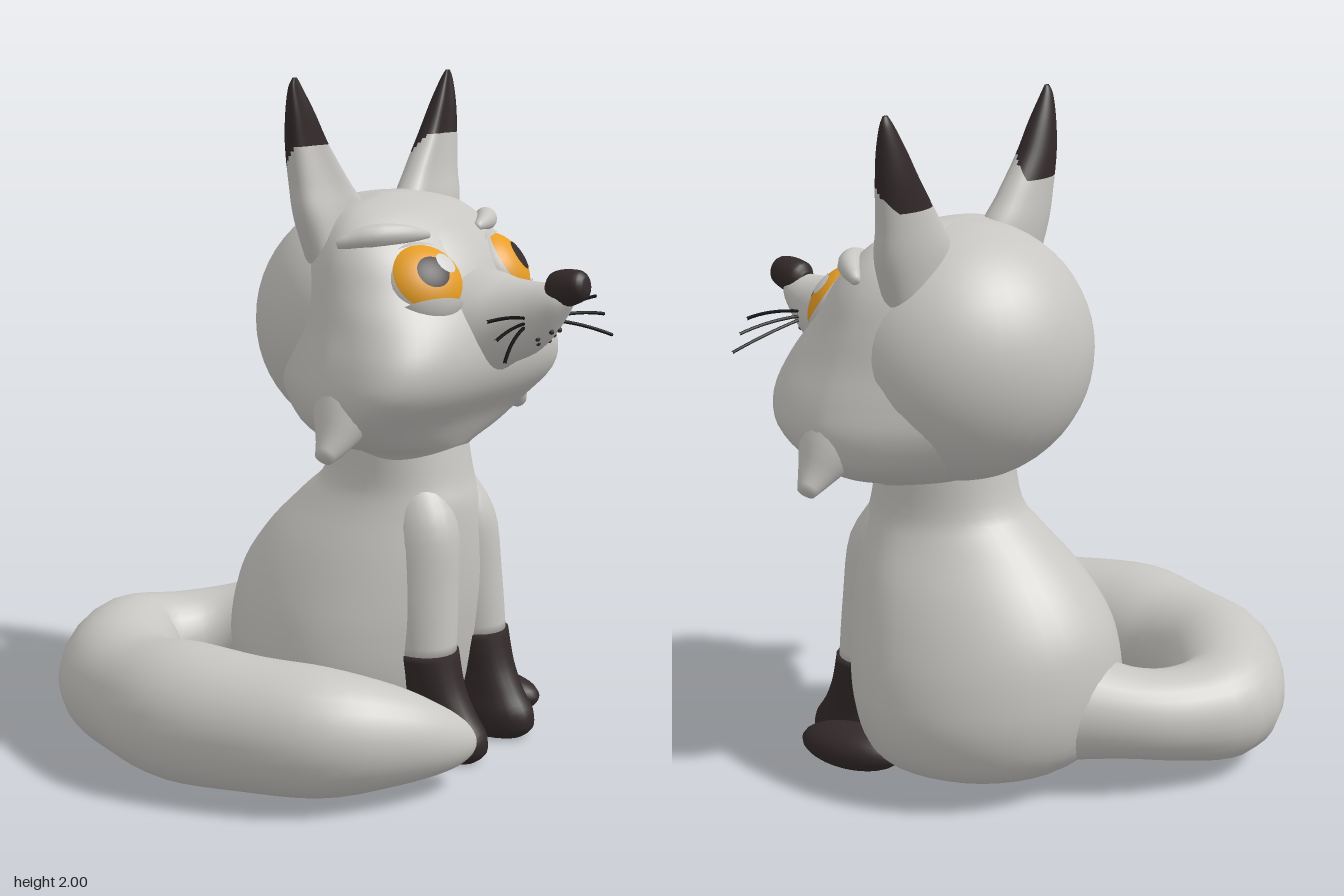
import * as THREE from 'three';

const mat = (name, color) => Object.assign(new THREE.MeshStandardMaterial({ color }), { name });
const CX = 0.2; // the animal sits to one side, the tail balances it

// Catmull-Rom interpolation of rows of numbers
function smooth(rows, n) {
  const out = [];
  for (let i = 0; i < rows.length - 1; i++) {
    const [a, b, c, d] = [rows[Math.max(i - 1, 0)], rows[i], rows[i + 1], rows[Math.min(i + 2, rows.length - 1)]];
    for (let k = 0; k < n; k++) {
      const t = k / n;
      out.push(b.map((v, j) => v + 0.5 * t * (c[j] - a[j] +
        t * (2 * a[j] - 5 * v + 4 * c[j] - d[j] + t * (3 * (v - c[j]) + d[j] - a[j])))));
    }
  }
  out.push(rows[rows.length - 1]);
  return out;
}

// Closed skin over rings; point(row, angle, index, rows) gives [x, y, z]
function loft(rows, point, steps = 4, sides = 32) {
  const rs = smooth(rows, steps), pos = [], idx = [];
  rs.forEach((r, i) => {
    for (let j = 0; j < sides; j++) pos.push(...point(r, j / sides * Math.PI * 2, i, rs));
  });
  const n = rs.length;
  for (let i = 0; i < n - 1; i++) for (let j = 0; j < sides; j++) {
    const a = i * sides + j, b = i * sides + (j + 1) % sides;
    idx.push(a, b, a + sides, b, b + sides, a + sides);
  }
  [0, n - 1].forEach((r, e) => {
    const c = [0, 0, 0];
    for (let j = 0; j < sides; j++) for (let k = 0; k < 3; k++) c[k] += pos[(r * sides + j) * 3 + k] / sides;
    pos.push(...c);
    for (let j = 0; j < sides; j++) {
      const a = r * sides + j, b = r * sides + (j + 1) % sides;
      idx.push(n * sides + e, ...(e ? [a, b] : [b, a]));
    }
  });
  // turn the skin outward
  const P = i => new THREE.Vector3().fromArray(pos, i * 3);
  let vol = 0;
  for (let i = 0; i < idx.length; i += 3) vol += P(idx[i]).dot(P(idx[i + 1]).cross(P(idx[i + 2])));
  if (vol < 0) idx.reverse();
  const g = new THREE.BufferGeometry();
  g.setAttribute('position', new THREE.Float32BufferAttribute(pos, 3));
  g.setIndex(idx);
  g.computeVertexNormals();
  return g;
}

// Sort triangles into two material groups; test(y, z) picks the second
function paint(g, test) {
  const sets = [[], []], p = g.attributes.position, idx = g.index.array;
  for (let i = 0; i < idx.length; i += 3) {
    const t = [idx[i], idx[i + 1], idx[i + 2]];
    const mean = get => t.reduce((sum, v) => sum + get(v) / 3, 0);
    sets[test(mean(v => p.getY(v)), mean(v => p.getZ(v))) ? 1 : 0].push(...t);
  }
  g.setIndex(sets.flat());
  g.addGroup(0, sets[0].length, 0);
  g.addGroup(sets[0].length, sets[1].length, 1);
  return g;
}

// Upright ring from [y, centre x, half width, back z, front z]; k places the widest depth
const upright = (k = 0.5, dent = 0) => ([y, cx, hw, zb, zf], a) => {
  const zc = zb + (zf - zb) * k, c = Math.cos(a);
  const z = c > 0 ? (zf - zc) * c * (1 - dent * c ** 3) : (zc - zb) * c;
  return [cx + hw * Math.sin(a), y, zc + z];
};

// Face ring from [y, half width, back z, front z, front squareness], tapering backwards
function faceRing([y, hw, zb, zf, n], a) {
  const zc = zb + (zf - zb) * 0.63, c = Math.cos(a), s = Math.sin(a), e = 2 / (c > 0 ? n : 1.6);
  const z = Math.abs(c) ** e * (c > 0 ? zf - zc : zb - zc);
  return [CX + hw * Math.sign(s) * Math.abs(s) ** e, y, zc + z];
}

// Round ring from [x, y, z, radius], square to the path
function round([x, y, z, r], a, i, rows) {
  const p = rows[Math.max(i - 1, 0)], q = rows[Math.min(i + 1, rows.length - 1)];
  const t = new THREE.Vector3(q[0] - p[0], q[1] - p[1], q[2] - p[2]).normalize();
  const side = new THREE.Vector3(-t.z, 0, t.x).normalize();
  const v = side.clone().multiplyScalar(r * Math.cos(a)).addScaledVector(t.cross(side), r * Math.sin(a));
  return [x + v.x, y + v.y, z + v.z];
}

export function createModel() {
  const fur = mat('greyFur', 0xc8c6c2), dark = mat('darkFur', 0x322929);
  const amber = mat('amberIris', 0xeba126), pupilMat = mat('pupilBrown', 0x352b2b);
  const glint = mat('eyeGlint', 0xd2d2d2), black = mat('whiskerBlack', 0x101010);
  const model = new THREE.Group();
  model.name = 'sittingFox';
  const add = (name, geo, m, parent = model) => {
    const mesh = new THREE.Mesh(geo, m);
    mesh.name = name;
    parent.add(mesh);
    return mesh;
  };

  // Pear-shaped body
  add('body', loft([
    [0.015, CX, 0.16, -0.12, 0.24], [0.05, CX, 0.28, -0.27, 0.3], [0.13, CX, 0.38, -0.37, 0.34],
    [0.25, CX, 0.42, -0.41, 0.37], [0.38, CX, 0.405, -0.41, 0.39], [0.5, CX, 0.365, -0.38, 0.4],
    [0.62, CX, 0.31, -0.3, 0.4], [0.74, CX, 0.24, -0.18, 0.39], [0.82, CX, 0.21, -0.1, 0.365],
    [0.96, CX, 0.2, -0.07, 0.335],
  ], upright(0.56), 4, 40), fur);

  // Round skull, with the wide-cheeked face growing out of it
  const skull = add('skull', new THREE.SphereGeometry(0.38, 40, 28), fur);
  skull.scale.x = 1.06;
  skull.position.set(CX, 1.28, 0.08);
  add('face', loft([
    [0.87, 0.17, 0, 0.31, 2], [0.915, 0.225, -0.04, 0.345, 2.1], [0.955, 0.35, -0.08, 0.37, 2.4],
    [1.02, 0.45, -0.15, 0.41, 2.8], [1.11, 0.485, -0.22, 0.48, 3.5], [1.2, 0.47, -0.25, 0.505, 3.5],
    [1.3, 0.435, -0.26, 0.49, 2.8], [1.4, 0.405, -0.24, 0.44, 2.2], [1.5, 0.37, -0.18, 0.38, 2.1],
    [1.58, 0.31, -0.11, 0.31, 2], [1.63, 0.22, -0.04, 0.24, 2], [1.66, 0.06, 0.06, 0.14, 2],
  ], faceRing, 4, 56), fur);

  // Snout rows: [z, bottom, top, half width]
  add('snout', loft([
    [0.36, 1.1, 1.46, 0.22], [0.46, 1.14, 1.45, 0.165], [0.53, 1.185, 1.435, 0.122],
    [0.6, 1.22, 1.43, 0.092], [0.65, 1.265, 1.43, 0.075], [0.695, 1.33, 1.425, 0.055], [0.72, 1.37, 1.41, 0.025],
  ], ([z, b, t, w], a) => [CX + w * Math.cos(a), (b + t) / 2 + (t - b) / 2 * Math.sin(a), z], 4), fur);
  add('nose', loft([
    [CX, 1.405, 0.65, 0.03], [CX, 1.41, 0.672, 0.052], [CX, 1.422, 0.71, 0.053],
    [CX, 1.432, 0.755, 0.042], [CX, 1.435, 0.77, 0.02],
  ], round, 4, 20), dark);

  // Tail curling round to the front
  add('tail', loft([
    [0.18, 0.25, -0.28, 0.17], [0.1, 0.23, -0.44, 0.135], [-0.02, 0.21, -0.55, 0.14], [-0.19, 0.2, -0.605, 0.17],
    [-0.42, 0.2, -0.46, 0.185], [-0.51, 0.2, -0.28, 0.185], [-0.535, 0.205, -0.1, 0.203], [-0.5, 0.205, 0.12, 0.192],
    [-0.42, 0.2, 0.32, 0.183], [-0.29, 0.18, 0.45, 0.145], [-0.17, 0.15, 0.53, 0.1], [-0.09, 0.13, 0.565, 0.058],
    [-0.055, 0.125, 0.575, 0.02],
  ], round, 4, 28), fur);

  for (const s of [1, -1]) {
    const pre = s > 0 ? 'left' : 'right';
    const X = o => CX + s * o;
    const part = (name, ...rest) => add(pre + name, ...rest);

    // Ear, its dark tip reaching lower at the back
    part('Ear', paint(loft([
      [1.46, X(0.2), 0.14, 0, 0.14], [1.6, X(0.242), 0.15, -0.015, 0.14], [1.7, X(0.285), 0.118, -0.015, 0.115],
      [1.81, X(0.333), 0.079, -0.01, 0.095], [1.9, X(0.362), 0.051, 0.003, 0.078],
      [1.97, X(0.382), 0.025, 0.02, 0.057], [2.0, X(0.386), 0.008, 0.034, 0.045],
    ], upright(0.5, 0.5), 8, 32), (y, z) => y > Math.min(1.74 + 1.2 * Math.max(z, 0), 1.81)), [fur, dark]);

    // Cheek tuft and brow
    part('CheekTuft', loft([
      [X(0.35), 1.15, 0.23, 0.12], [X(0.42), 1.065, 0.235, 0.09], [X(0.475), 1.0, 0.24, 0.053],
      [X(0.52), 0.958, 0.24, 0.026],
    ], round, 3, 20), fur);
    part('Brow', loft([
      [X(0.13), 1.555, 0.32, 0.012], [X(0.21), 1.562, 0.295, 0.028], [X(0.3), 1.56, 0.24, 0.034],
      [X(0.365), 1.54, 0.17, 0.014],
    ], round, 3, 16), fur);

    // Eye: layered caps on a flattened ball, leaning back with the forehead
    const eye = new THREE.Group();
    eye.name = pre + 'Eye';
    eye.position.set(X(0.203), 1.422, 0.348);
    eye.rotation.set(-0.6, s * 0.42, 0, 'YXZ');
    eye.scale.set(1.06, 1, 0.7);
    model.add(eye);
    const cap = (name, m, r, angle, x, y, z) => {
      const mesh = add(name, new THREE.SphereGeometry(r, 32, 10, 0, Math.PI * 2, 0, angle), m, eye);
      mesh.quaternion.setFromUnitVectors(new THREE.Vector3(0, 1, 0), new THREE.Vector3(x, y, z).normalize());
    };
    cap('eyeball', fur, 0.12, Math.PI, 0, 0, 1);
    cap('iris', amber, 0.122, 1.02, 0, 0, 1);
    cap('pupil', pupilMat, 0.124, 0.4, 0, 0, 1);
    cap('glint', glint, 0.126, 0.27, 0.46, 0.25, 1);
    cap('upperLid', fur, 0.13, Math.acos(0.095 / 0.13), 0, 1, 0);
    cap('lowerLid', fur, 0.132, Math.acos(0.08 / 0.132), 0, -1, 0);

    // Whiskers and muzzle dots
    [[1.335, 1.355, 0.63], [1.32, 1.305, 0.66], [1.31, 1.245, 0.69]].forEach(([y0, y1, z1]) => {
      const path = new THREE.QuadraticBezierCurve3(new THREE.Vector3(X(0.075), y0, 0.615),
        new THREE.Vector3(X(0.19), (y0 + y1) / 2 + 0.015, 0.64), new THREE.Vector3(X(0.3), y1, z1));
      part('Whisker', new THREE.TubeGeometry(path, 8, 0.005, 6), black);
    });
    [[0.045, 1.275, 0.641], [0.022, 1.295, 0.672], [0.03, 1.26, 0.634]].forEach(([o, y, z]) =>
      part('MuzzleDot', new THREE.SphereGeometry(0.008, 8, 6), dark).position.set(X(o), y, z));

    // Front leg, sock and paw
    part('FrontLeg', loft([
      [0.84, X(0.08), 0.07, 0.16, 0.31], [0.7, X(0.1), 0.105, 0.16, 0.4], [0.5, X(0.12), 0.108, 0.18, 0.418],
      [0.31, X(0.138), 0.094, 0.23, 0.427],
    ], upright(), 4, 24), fur);
    part('FrontPaw', loft([
      [0.32, X(0.138), 0.099, 0.24, 0.434], [0.22, X(0.138), 0.086, 0.27, 0.46], [0.14, X(0.134), 0.084, 0.27, 0.5],
      [0.08, X(0.132), 0.092, 0.25, 0.54], [0.03, X(0.132), 0.088, 0.25, 0.542], [0, X(0.132), 0.07, 0.28, 0.51],
    ], upright(), 4, 24), dark);

    // Hind paw beside it
    const paw = part('HindPaw', new THREE.SphereGeometry(1, 24, 16), dark);
    paw.scale.set(0.088, 0.066, 0.17);
    paw.position.set(X(0.27), 0.07, 0.305);
    paw.rotation.y = s * 0.1;
  }
  return model;
}
